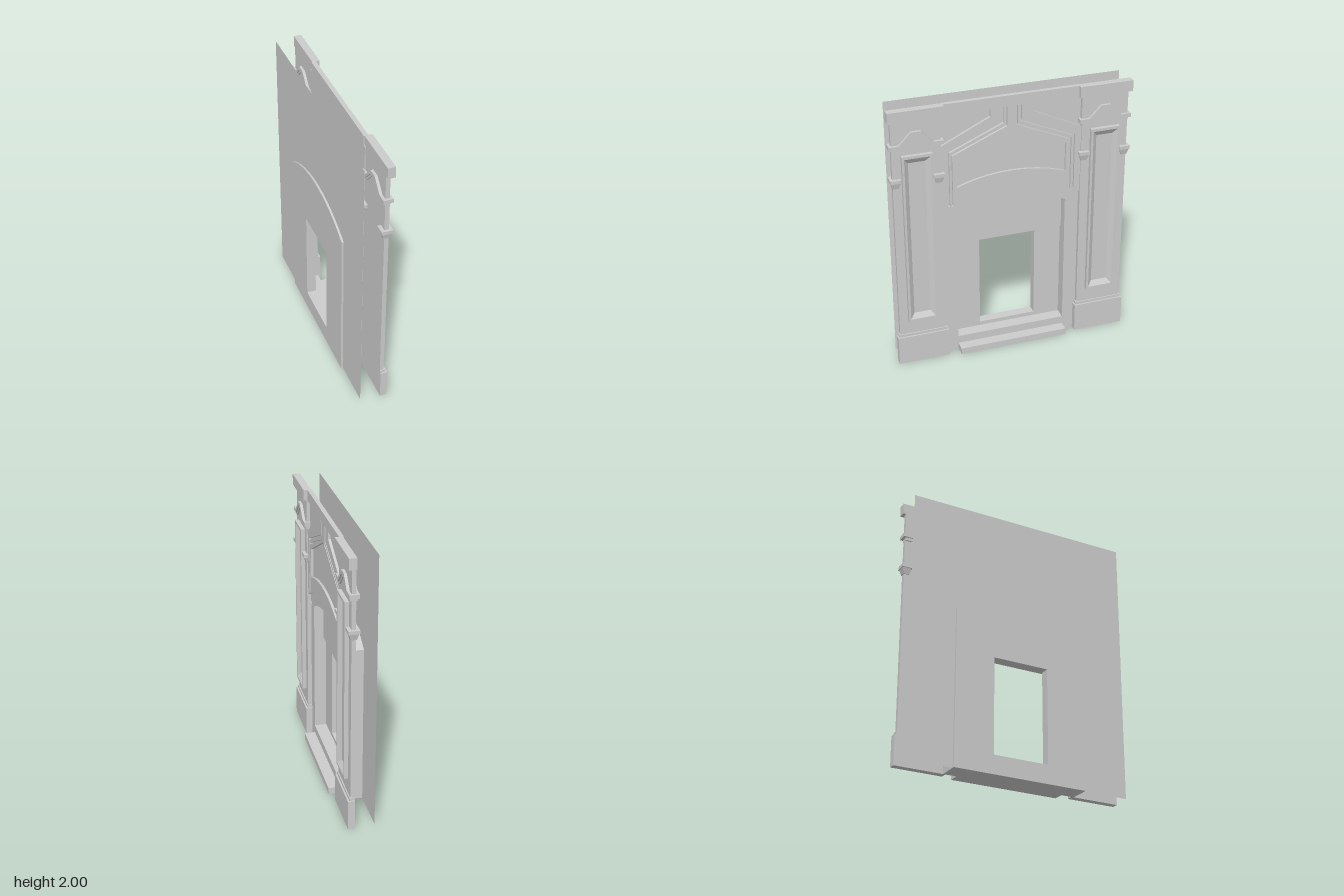
import * as THREE from 'three';

const material = new THREE.MeshStandardMaterial({ color: 0xcccccc, flatShading: true, side: THREE.DoubleSide });

// The facade is drawn in (u, y) and extruded along its depth d; the whole is turned to face +x at the end.
function add(parent, name, geometry) {
  const mesh = new THREE.Mesh(geometry, material);
  mesh.name = name;
  parent.add(mesh);
  return mesh;
}
const toPoints = (list) => list.map(([u, y]) => new THREE.Vector2(u, y));
function slab(parent, name, outline, d0, d1, holes = []) {
  const shape = new THREE.Shape(toPoints(outline));
  for (const hole of holes) shape.holes.push(new THREE.Path(toPoints(hole)));
  const geometry = new THREE.ExtrudeGeometry(shape, { depth: d1 - d0, bevelEnabled: false });
  return add(parent, name, geometry.translate(0, 0, d0));
}
const rect = (u0, u1, y0, y1) => [[u0, y0], [u1, y0], [u1, y1], [u0, y1]];
function box(parent, name, u0, u1, y0, y1, d0, d1) {
  const geometry = new THREE.BoxGeometry(u1 - u0, y1 - y0, d1 - d0);
  return add(parent, name, geometry.translate((u0 + u1) / 2, (y0 + y1) / 2, (d0 + d1) / 2));
}
const mirrored = (list) => list.map(([u, y]) => [-u, y]).reverse();

// Segmental arc from +half to -half
function arc(half, spring, rise, n = 12) {
  const r = (half * half + rise * rise) / (2 * rise);
  const a = Math.asin(half / r);
  return Array.from({ length: n + 1 }, (_, i) => {
    const t = a - (2 * a * i) / n;
    return [r * Math.sin(t), spring + rise - r + r * Math.cos(t)];
  });
}

// Box whose bottom is narrower than its top
function taperedBox(parent, name, u0, u1, y0, y1, d0, d1, inset) {
  const mesh = box(parent, name, u0, u1, y0, y1, d0, d1);
  const p = mesh.geometry.attributes.position;
  const cu = (u0 + u1) / 2, cd = (d0 + d1) / 2;
  for (let i = 0; i < p.count; i++) {
    if (p.getY(i) > (y0 + y1) / 2) continue;
    p.setX(i, p.getX(i) - Math.sign(p.getX(i) - cu) * inset);
    p.setZ(i, p.getZ(i) - Math.sign(p.getZ(i) - cd) * inset);
  }
  mesh.geometry.computeVertexNormals();
}

// Nested rectangles [half width, bottom, top, depth] joined by quads, last one filled
function rectLoft(parent, name, rings) {
  const corners = rings.map(([h, y0, y1, d]) => rect(-h, h, y0, y1).map(([u, y]) => [u, y, d]));
  const v = [];
  const quad = (a, b, c, d) => v.push(...a, ...b, ...c, ...a, ...c, ...d);
  for (let r = 0; r + 1 < corners.length; r++)
    for (let i = 0; i < 4; i++) {
      const j = (i + 1) % 4;
      quad(corners[r][i], corners[r][j], corners[r + 1][j], corners[r + 1][i]);
    }
  quad(...corners[corners.length - 1]);
  const geometry = new THREE.BufferGeometry();
  geometry.setAttribute('position', new THREE.Float32BufferAttribute(v, 3));
  geometry.computeVertexNormals();
  return add(parent, name, geometry);
}

// Peaked moulding strip with flat ends
function chevron(half, rise, top, thick) {
  const edge = [[-half, top], [-0.122, top], [-0.035, top + rise], [0.035, top + rise], [0.122, top], [half, top]];
  return [...edge.map(([u, y]) => [u, y - thick]), ...edge.slice().reverse()];
}

function pilaster(name, side) {
  const g = new THREE.Group();
  g.name = name;
  box(g, 'pilasterShaft', -0.172, 0.172, 0.2, 1.93, 0.04, 0.07);
  box(g, 'pilasterBase', -0.19, 0.19, 0, 0.22, 0.04, 0.09);
  box(g, 'baseMoulding', -0.18, 0.18, 0.22, 0.24, 0.04, 0.078);
  box(g, 'pilasterCap', -0.195, 0.195, 1.92, 2, 0.04, 0.095);
  rectLoft(g, 'sunkenPanel', [
    [0.108, 0.355, 1.67, 0.07], [0.108, 0.355, 1.67, 0.1], [0.092, 0.372, 1.65, 0.1], [0.06, 0.41, 1.61, 0.073],
  ]);
  slab(g, 'pedimentUpper', chevron(0.19, 0.09, 1.75, 0.028), 0.02, 0.09);
  slab(g, 'pedimentLower', chevron(0.172, 0.09, 1.725, 0.025), 0.03, 0.08);
  for (const s of [-1, 1]) {
    const u0 = s < 0 ? -0.192 : 0.114, u1 = u0 + 0.078;
    box(g, 'bracketTop', u0, u1, 1.475, 1.5, 0.015, 0.095);
    taperedBox(g, 'bracketBody', u0 + 0.006, u1 - 0.004, 1.43, 1.475, 0.022, 0.088, 0.012);
  }
  g.position.x = side * 0.683;
  return g;
}

export function createModel() {
  const root = new THREE.Group();
  root.name = 'fireplaceFacade';
  const facade = new THREE.Group();
  facade.name = 'facade';
  facade.rotation.y = Math.PI / 2;
  root.add(facade);

  facade.add(pilaster('leftPilaster', 1), pilaster('rightPilaster', -1));

  const outerArc = arc(0.51, 1.18, 0.14);
  const innerArc = arc(0.41, 1.12, 0.105);

  // Thin backing sheet, open behind the arch
  const sheet = new THREE.Shape(toPoints(rect(-0.855, 0.855, 0, 2)));
  sheet.holes.push(new THREE.Path(toPoints([[-0.5, 0.005], [0.5, 0.005], ...arc(0.5, 1.18, 0.13)])));
  add(facade, 'backSheet', new THREE.ShapeGeometry(sheet)).position.z = -0.105;

  // Arched surround around the firebox
  slab(facade, 'archSurround',
    [[-0.51, 0], [-0.41, 0], ...innerArc.slice().reverse(), [0.41, 0], [0.51, 0], ...outerArc], -0.12, 0.04);
  slab(facade, 'lintelPanel', [[-0.41, 0.86], [0.41, 0.86], ...innerArc], -0.12, -0.03);
  slab(facade, 'fireboxFrame', rect(-0.41, 0.41, 0.11, 0.86), -0.12, -0.05, [rect(-0.212, 0.212, 0.14, 0.8595)]);
  box(facade, 'hearth', -0.41, 0.41, 0, 0.11, -0.12, 0.04);
  box(facade, 'hearthStep', -0.41, 0.41, 0, 0.05, 0.04, 0.12);

  // Wall above the arch: backing, then a face cut with sunken panels and grooves
  const wallOutline = [...outerArc.slice().reverse(), [0.515, 1.93], [-0.515, 1.93]];
  slab(facade, 'upperWall', wallOutline, 0.034, 0.044);
  const spandrel = [[0.155, 1.918], [0.155, 1.86], [0.51, 1.69], [0.51, 1.918]];
  const groove = (a, b, neckA, neckB, drop) => [
    [a, 1.215], [a, 1.64 - drop], [neckA, 1.81 - drop], [neckA, 1.918],
    [neckB, 1.918], [neckB, 1.8 - drop], [b, 1.63 - drop], [b, 1.225],
  ];
  const grooves = [groove(0.466, 0.452, 0.072, 0.06, 0), groove(0.44, 0.43, 0.042, 0.032, 0.025)];
  const centrePanel = [
    ...arc(0.4, 1.36, 0.07).reverse(), [0.4, 1.58], [0, 1.78], [-0.4, 1.58],
  ];
  slab(facade, 'panelledFace', wallOutline, 0.044, 0.062,
    [centrePanel, spandrel, mirrored(spandrel), ...grooves, ...grooves.map(mirrored)]);
  box(facade, 'frieze', -0.49, 0.49, 1.92, 2, 0.034, 0.066);

  return root;
}
